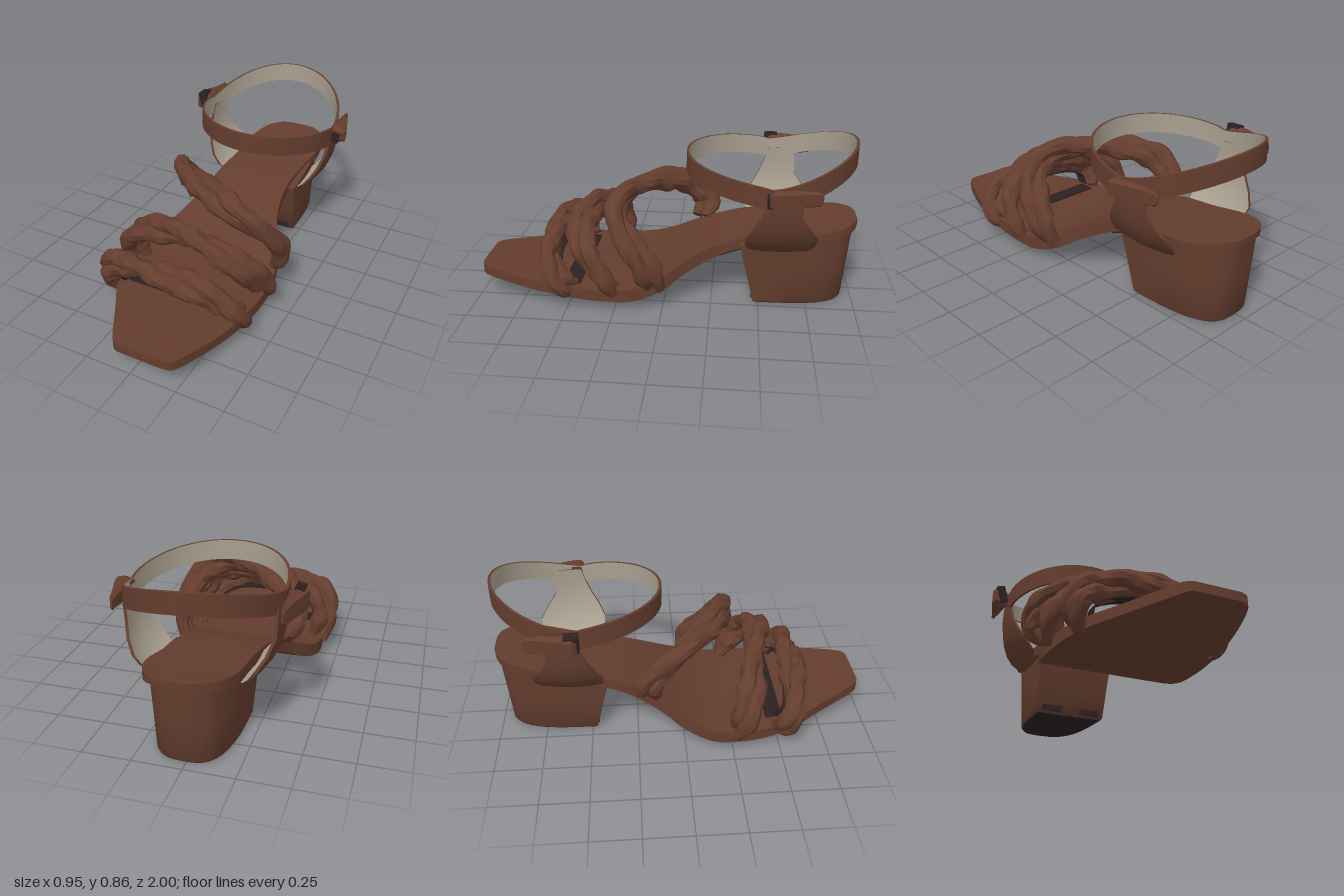
import * as THREE from 'three';
import { toCreasedNormals } from 'three/addons/utils/BufferGeometryUtils.js';

const V = (x, y, z) => new THREE.Vector3(x, y, z);
const spline = (pts) => new THREE.CatmullRomCurve3(pts.map((p) => V(...p)));

// Skins a list of equal-length rings; side(j) gives the material index of strip j.
function loft(rings, { closed = false, side = () => 0, startCap = 0, endCap = 0, crease = 0.6 } = {}) {
  const n = rings[0].length, tris = [], groups = [];
  const strip = (mat, fill) => {
    const start = tris.length;
    fill();
    groups.push([start, tris.length - start, mat]);
  };
  const last = closed ? rings.length : rings.length - 1;
  for (let j = 0; j < n; j++) strip(side(j), () => {
    for (let i = 0; i < last; i++) {
      const r = rings[i], s = rings[(i + 1) % rings.length], k = (j + 1) % n;
      tris.push(r[j], r[k], s[k], r[j], s[k], s[j]);
    }
  });
  const cap = (r, flip, mat) => strip(mat, () => {
    const c = r.reduce((a, p) => a.add(p), V(0, 0, 0)).divideScalar(n);
    for (let j = 0; j < n; j++) {
      const p = r[j], q = r[(j + 1) % n];
      tris.push(c, flip ? q : p, flip ? p : q);
    }
  });
  if (!closed) { cap(rings[0], true, startCap); cap(rings.at(-1), false, endCap); }
  // turn the skin outward when the rings run the other way
  let volume = 0;
  for (let i = 0; i < tris.length; i += 3) volume += tris[i].dot(tris[i + 1].clone().cross(tris[i + 2]));
  if (volume < 0) for (let i = 0; i < tris.length; i += 3) [tris[i + 1], tris[i + 2]] = [tris[i + 2], tris[i + 1]];
  const g = new THREE.BufferGeometry().setFromPoints(tris);
  groups.forEach(([s, c, m]) => g.addGroup(s, c, m));
  return toCreasedNormals(g, crease);
}

export function createModel() {
  const model = new THREE.Group();
  const mat = (name, color) => {
    const m = new THREE.MeshStandardMaterial({ color });
    m.name = name;
    return m;
  };
  const leather = mat('brown leather', 0x643d2e);
  const lining = mat('beige lining', 0xa89f8f);
  const dark = mat('dark brown', 0x2c2122);
  const add = (name, geometry, material) => {
    const m = new THREE.Mesh(geometry, material);
    m.name = name;
    model.add(m);
    return m;
  };

  // Sole: z, left x, right x, top y, bottom y
  const sole = [
    [1, -.06, .18, .16, .115], [.985, -.09, .22, .158, .108], [.94, -.125, .245, .154, .1],
    [.85, -.18, .28, .145, .092], [.72, -.26, .32, .132, .08], [.6, -.335, .345, .122, .068],
    [.45, -.395, .365, .115, .055], [.3, -.415, .37, .11, .047], [.15, -.41, .36, .12, .05],
    [0, -.36, .32, .175, .1], [-.1, -.31, .265, .235, .165], [-.2, -.27, .225, .29, .22],
    [-.3, -.25, .205, .33, .27], [-.42, -.235, .2, .365, .31], [-.6, -.215, .21, .39, .33],
    [-.8, -.205, .235, .42, .37], [-.92, -.16, .2, .44, .39], [-.98, -.09, .14, .45, .41], [-1, -.03, .08, .45, .42],
  ];
  const edges = [[1, 3], [2, 3], [2, 4], [1, 4]].map(([x, y]) => spline(sole.map((s) => [s[x], s[y], s[0]])));
  const soleRings = Array.from({ length: 73 }, (_, i) => edges.map((e) => e.getPoint(i / 72)));
  add('sole', loft(soleRings), [leather]);
  // Dark patches on the sole: under the front strap, and below the arch
  add('insoleBand', new THREE.BoxGeometry(.62, .008, .09), dark).position.set(0, .118, .48);
  const arch = [[-.28, .254], [-.34, .279], [-.41, .303]].map(([z, y]) =>
    [V(-.2, y + .002, z), V(.19, y + .002, z), V(.19, y - .005, z), V(-.2, y - .005, z)]);
  add('archPatch', loft(arch), [dark]);

  // Block heel: flat front face, rounded back, dark tread, top following the sole
  const heelRings = [0, .03, .5, 1].map((t) => {
    const zf = -.475 + .08 * t, zb = -.95 - .035 * t, cx = .015, inset = t === 0 ? .008 : 0;
    const w = .203 + .02 * t - inset;
    return Array.from({ length: 25 }, (_, k) => {
      const a = k * Math.PI / 24, c = Math.cos(a), s = Math.max(0, Math.sin(a));
      const z = zf - inset + (zb - zf + 2 * inset) * s ** .65;
      return V(cx + w * Math.sign(c) * Math.abs(c) ** .65, t * (.335 + .17 * (-z - .4)), z);
    });
  });
  add('heel', loft(heelRings, { startCap: 1 }), [leather, dark]);
  for (const x of [-.1, .13]) add('heelFrontPatch', new THREE.BoxGeometry(.12, .034, .009), dark).position.set(x, .03, -.468);

  // Ankle strap: oval band dipping at the sides, lined inside
  const strapRings = Array.from({ length: 64 }, (_, i) => {
    const a = i / 64 * Math.PI * 2, c = Math.cos(a), s = Math.sin(a);
    const y = .672 + (c > 0 ? .06 * c ** .75 : .135 * (-c) ** 1.35) - .018 * s;
    const at = (off, h) => V(.015 + (.385 + off) * s, y + h, -.54 + (.44 + off) * c);
    return [at(0, -.052), at(0, .052), at(-.014, .052), at(-.014, -.052)];
  });
  add('ankleStrap', loft(strapRings, { closed: true, side: (j) => (j === 2 ? 1 : 0) }), [leather, lining]);

  // Side panels: y, half-width x, front z, back z
  const panel = [
    [.30, .2, -.5, -.66], [.33, .26, -.44, -.74], [.37, .305, -.42, -.77], [.42, .34, -.42, -.78],
    [.48, .365, -.45, -.74], [.55, .378, -.49, -.69], [.62, .382, -.52, -.69], [.69, .378, -.54, -.68],
  ];
  for (const [name, sgn] of [['leftPanel', 1], ['rightPanel', -1]]) {
    const rings = panel.map(([y, x, zf, zb]) => {
      const arc = (off) => Array.from({ length: 9 }, (_, k) => {
        const z = zf + (zb - zf) * k / 8;
        return V(.012 + sgn * (x - off - .9 * (z + .57) ** 2), y, z);
      });
      return [...arc(0), ...arc(.016).reverse()];
    });
    add(name, loft(rings, { side: (j) => (j > 8 && j < 17 ? 1 : 0), crease: .9 }), [leather, lining]);
  }

  // Flared strap ends and dark fasteners at the ankle: z, inner x, outer x, half height
  const flap = [[-.525, .39, .455, .028], [-.545, .38, .47, .045], [-.62, .385, .452, .046],
    [-.7, .385, .425, .042], [-.765, .388, .408, .036], [-.78, .39, .4, .02]];
  for (const [name, sgn, y, tall] of [['leftBuckle', 1, .67, 1], ['rightBuckle', -1, .7, 1.25]]) {
    add(name, loft(flap.map(([z, a, b, h]) => [[a, .7], [(a + b) / 2, 1], [b, .75], [b, -.75], [(a + b) / 2, -1], [a, -.7]]
      .map(([x, e]) => V(sgn * x, y + h * tall * e, z)))), [leather]);
    const pin = add(name + 'Fastener', new THREE.BoxGeometry(.045, sgn > 0 ? .06 : .1, .07), dark);
    pin.position.set(sgn * .418, y + (sgn > 0 ? -.012 : .015), -.55);
    pin.rotation.z = sgn * -.25;
  }

  // Toe straps: two thick lumpy strands loosely twisted around a path
  function rope(name, path, twists, phase) {
    const curve = spline(path);
    const N = 60, M = 10, frames = curve.computeFrenetFrames(N);
    for (let strand = 0; strand < 2; strand++) {
      const rings = [];
      for (let i = 0; i <= N; i++) {
        const t = i / N, w = phase + twists * Math.PI * 2 * t + strand * Math.PI;
        const u = frames.normals[i], v = frames.binormals[i];
        const ends = Math.min(1, .6 + 5 * Math.min(t, 1 - t));
        const c = curve.getPointAt(t).addScaledVector(u, .03 * Math.cos(w)).addScaledVector(v, .03 * Math.sin(w));
        rings.push(Array.from({ length: M }, (_, k) => {
          const a = k / M * Math.PI * 2;
          const lump = 1 + .08 * Math.sin(t * 53 + strand * 2 + phase) + .1 * Math.sin(a * 2 + t * 37 + strand)
            + .05 * Math.sin(a * 3 - t * 71);
          const r = .047 * ends * lump;
          return c.clone().addScaledVector(u, r * Math.cos(a)).addScaledVector(v, r * Math.sin(a));
        }));
      }
      add(name + 'Strand', loft(rings, { crease: .45 }), [leather]);
    }
  }
  rope('frontStrap', [[-.35, .09, .49], [-.395, .13, .53], [-.395, .22, .57], [-.25, .285, .59], [0, .3, .61],
    [.2, .275, .61], [.315, .2, .58], [.345, .13, .52], [.32, .09, .48]], 1, .4);
  rope('middleStrap', [[-.38, .09, .27], [-.415, .19, .3], [-.36, .31, .34], [-.2, .385, .37], [0, .43, .41],
    [.2, .4, .44], [.32, .31, .4], [.36, .19, .31], [.34, .1, .25]], 1, 1.7);
  rope('rearStrap', [[-.27, .29, -.17], [-.335, .37, -.2], [-.32, .48, -.1], [-.15, .545, .07], [.05, .55, .2],
    [.2, .515, .25], [.31, .43, .21], [.355, .32, .12], [.365, .2, .06], [.32, .12, .04]], 1, 2.6);

  // Dark lining arched under the front strap
  const inner = spline([[-.31, .13, .52], [-.31, .18, .56], [-.2, .225, .585], [0, .235, .6], [.18, .215, .6], [.27, .17, .57], [.28, .12, .52]]);
  const liningRings = Array.from({ length: 25 }, (_, i) => {
    const p = inner.getPoint(i / 24);
    return [[0, .035], [.008, .035], [.008, -.045], [0, -.045]].map(([dy, dz]) => V(p.x, p.y + dy, p.z + dz));
  });
  add('frontStrapLining', loft(liningRings), [dark]);

  return model;
}
